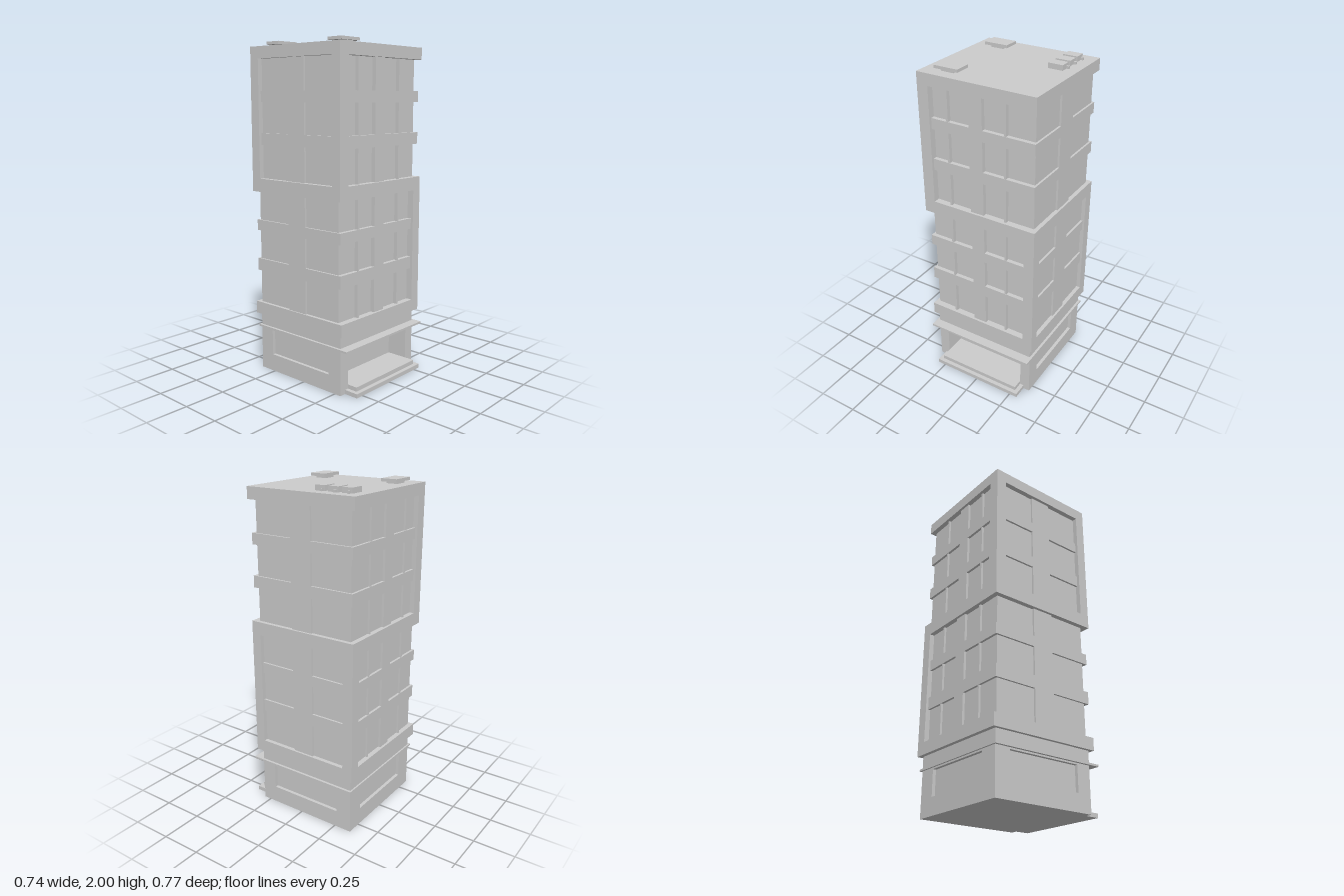
import * as THREE from 'three';

const material = new THREE.MeshStandardMaterial({ color: 0xcccccc, flatShading: true });

export function createModel() {
  const building = new THREE.Group();
  building.name = 'towerBlock';

  // Box given by its limits on each axis
  function box(name, [x0, x1], [y0, y1], [z0, z1], parent = building) {
    const mesh = new THREE.Mesh(new THREE.BoxGeometry(x1 - x0, y1 - y0, z1 - z0), material);
    mesh.position.set((x0 + x1) / 2, (y0 + y1) / 2, (z0 + z1) / 2);
    mesh.name = name;
    parent.add(mesh);
    return mesh;
  }

  function rect(Type, [u0, u1], [v0, v1]) {
    const r = new Type();
    r.moveTo(u0, v0).lineTo(u1, v0).lineTo(u1, v1).lineTo(u0, v1).closePath();
    return r;
  }

  // Wall panel with a rectangular opening, extruded along +z
  function wall(name, u, v, holeU, holeV, depth) {
    const shape = rect(THREE.Shape, u, v);
    shape.holes.push(rect(THREE.Path, holeU, holeV));
    const mesh = new THREE.Mesh(
      new THREE.ExtrudeGeometry(shape, { depth, bevelEnabled: false }), material);
    mesh.name = name;
    building.add(mesh);
    return mesh;
  }

  // Ground floor: core, shopfront recess, display windows
  box('groundCore', [-0.32, 0.32], [0, 0.27], [-0.34, 0.165]);
  wall('shopfront', [-0.32, 0.32], [0, 0.27], [-0.275, 0.275], [0.03, 0.262], 0.13).position.z = 0.165;
  wall('backWall', [-0.32, 0.32], [0, 0.27], [-0.23, 0.23], [0.105, 0.26], 0.02).position.z = -0.36;
  for (const x of [-0.34, 0.32]) {
    const side = wall('sideWall', [-0.295, 0.36], [0, 0.27], [-0.205, 0.265], [0.105, 0.26], 0.02);
    side.rotation.y = Math.PI / 2;
    side.position.x = x;
  }
  box('lowerStep', [-0.3, 0.3], [0, 0.025], [0.295, 0.385]);
  box('upperStep', [-0.275, 0.275], [0.025, 0.05], [0.165, 0.36]);
  box('canopy', [-0.355, 0.355], [0.27, 0.282], [-0.37, 0.355]);
  box('neck', [-0.34, 0.34], [0.282, 0.355], [-0.36, 0.295]);

  // Floor slabs around the two tower sections
  const deep = [-0.385, 0.32];
  box('bottomSlab', [-0.36, 0.365], [0.355, 0.43], deep);
  box('middleSlab', [-0.37, 0.365], [1.12, 1.2], deep);
  box('roofSlab', [-0.37, 0.362], [1.9, 1.97], deep);

  // Tower sections: each is framed on one side and open on the other
  const sections = [
    { name: 'lowerSection', legX: [0.3, 0.365], floors: [[0.43, 0.63], [0.705, 0.88], [0.945, 1.12]] },
    { name: 'upperSection', legX: [-0.37, -0.3], floors: [[1.2, 1.4], [1.47, 1.65], [1.715, 1.9]] },
  ];
  const bandX = [-0.352, 0.352], bandZ = [-0.37, 0.305];
  for (const { name, legX, floors } of sections) {
    const section = new THREE.Group();
    section.name = name;
    building.add(section);
    const full = [floors[0][0], floors[2][1]];
    box('windowCore', [-0.34, 0.34], full, [-0.355, 0.28], section);
    box('frontFrameLeg', legX, full, [0.26, 0.32], section);
    box('backFrameLeg', legX, full, [-0.385, -0.32], section);
    floors.forEach((y, i) => {
      // Pillars and mullions run through the core and show on both faces
      box('frontBackPillar', [-0.055, 0.03], y, bandZ, section);
      box('sidePillar', bandX, y, [-0.1, 0.035], section);
      for (const x of [-0.195, 0.17]) {
        box('mullion', [x - 0.006, x + 0.006], y, [-0.368, 0.303], section);
      }
      if (i < 2) box('band', bandX, [y[1], floors[i + 1][0]], bandZ, section);
    });
  }

  // Roof equipment
  for (const z of [-0.275, 0.213]) {
    box('roofVentBase', [-0.26, -0.18], [1.97, 1.985], [z - 0.035, z + 0.035]);
    box('roofVent', [-0.295, -0.145], [1.983, 2], [z - 0.05, z + 0.05]);
  }
  for (const z of [-0.287, -0.202, -0.117]) {
    box('coolingUnit', [0.198, 0.286], [1.97, 2], [z - 0.032, z + 0.032]);
    box('coolingPipe', [0.286, 0.3], [1.97, 1.985], [z - 0.023, z - 0.008]);
  }
  return building;
}
